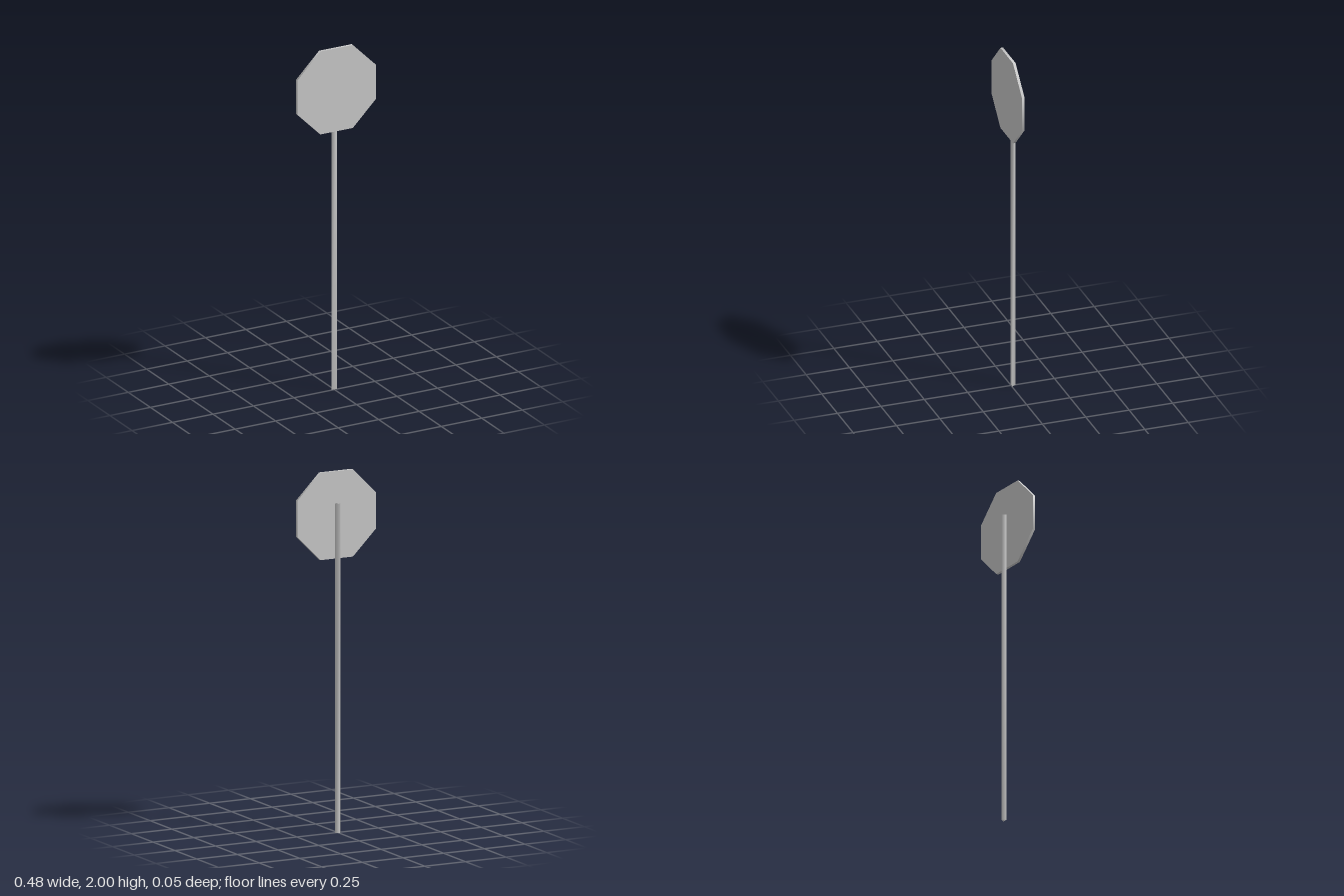
import * as THREE from 'three';
import { mergeVertices } from 'three/addons/utils/BufferGeometryUtils.js';

const material = new THREE.MeshStandardMaterial({ color: 0xcccccc });

// Share corner vertices so shading blends across every edge
function smoothed(geometry) {
  geometry.deleteAttribute('normal');
  geometry.deleteAttribute('uv');
  const merged = mergeVertices(geometry, 1e-5);
  merged.computeVertexNormals();
  return merged;
}

export function createModel() {
  const model = new THREE.Group();

  function add(name, geometry, y, z) {
    const mesh = new THREE.Mesh(geometry, material);
    mesh.name = name;
    mesh.position.set(0, y, z);
    model.add(mesh);
  }

  // Three-sided post, its ridge pointing backwards
  const postHeight = 1.825;
  const post = new THREE.CylinderGeometry(0.015, 0.015, postHeight, 3, 1, false, Math.PI);
  post.scale(1.2, 1, 1);
  add('post', smoothed(post), postHeight / 2, -0.01);

  // Octagonal plate standing just in front of the post
  const halfWidth = 0.242;
  const radius = halfWidth / Math.cos(Math.PI / 8);
  const plate = new THREE.CylinderGeometry(radius, radius, 0.015, 8, 1, false, Math.PI / 8);
  plate.rotateX(Math.PI / 2);
  add('signPlate', plate, 2 - halfWidth, 0.0175);

  return model;
}
